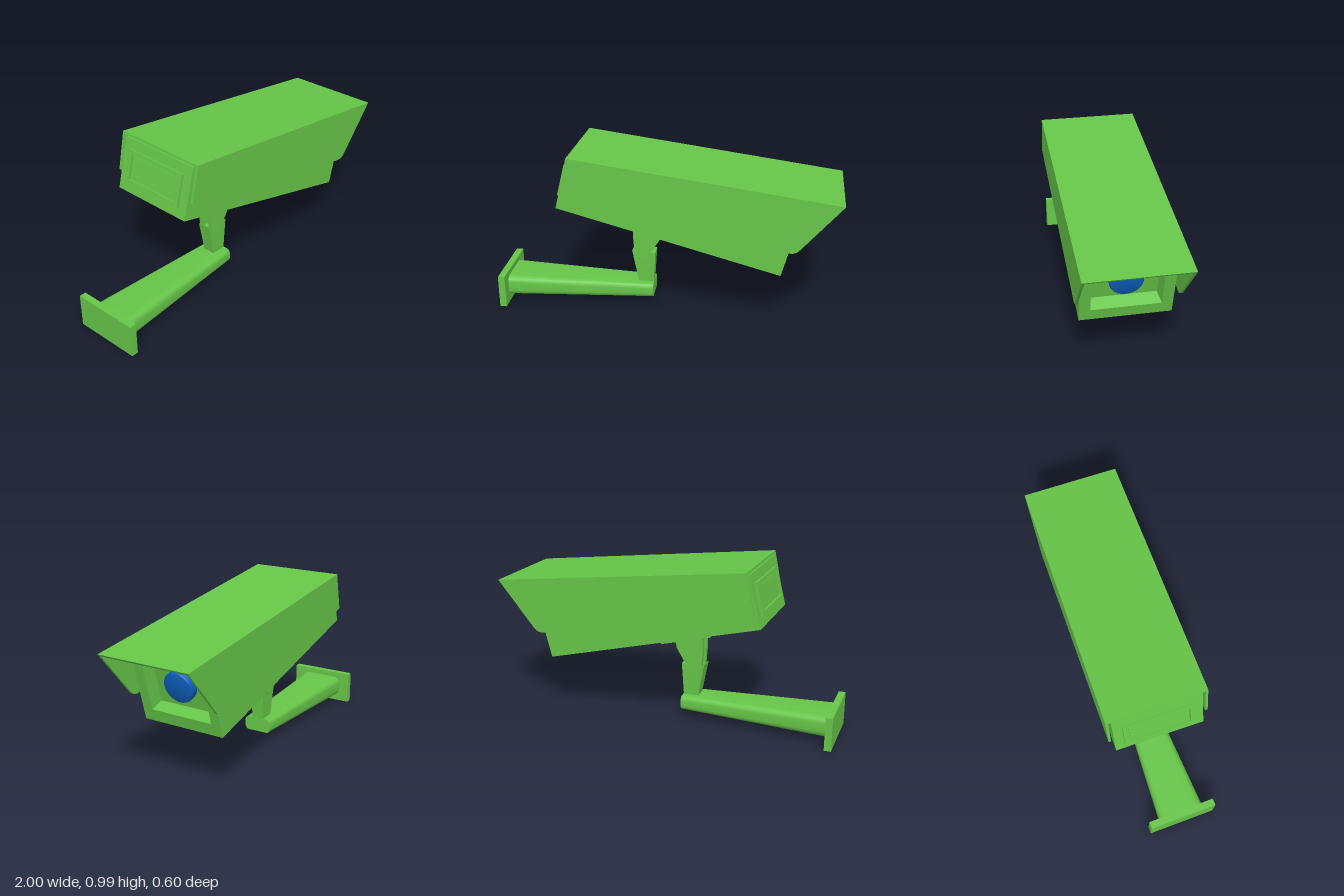
import * as THREE from 'three';
import { toCreasedNormals } from 'three/addons/utils/BufferGeometryUtils.js';

const green = new THREE.MeshStandardMaterial({ color: 0x66c548 });
const blue = new THREE.MeshStandardMaterial({ color: 0x0d5fbf });
const red = new THREE.MeshStandardMaterial({ color: 0xb81010 });

function add(parent, name, geometry, material = green) {
  const mesh = new THREE.Mesh(geometry, material);
  mesh.name = name;
  parent.add(mesh);
  return mesh;
}

// box given by its limits on each axis
function block(x0, x1, y0, y1, z0, z1) {
  return new THREE.BoxGeometry(x1 - x0, y1 - y0, z1 - z0)
    .translate((x0 + x1) / 2, (y0 + y1) / 2, (z0 + z1) / 2);
}

// side profile in x/y, extruded from z0 to z1
function prism(profile, z0, z1) {
  const shape = profile instanceof THREE.Shape
    ? profile : new THREE.Shape(profile.map(p => new THREE.Vector2(...p)));
  return new THREE.ExtrudeGeometry(shape, { depth: z1 - z0, bevelEnabled: false, curveSegments: 6 })
    .translate(0, 0, z0);
}

function rect(target, w, y0, y1) {
  target.moveTo(-w, y0);
  target.lineTo(w, y0);
  target.lineTo(w, y1);
  target.lineTo(-w, y1);
  target.closePath();
  return target;
}

// rectangular frame facing along x; [half width, bottom, top] for rim and opening
function frame(outer, inner, x0, x1) {
  const shape = rect(new THREE.Shape(), ...outer);
  shape.holes.push(rect(new THREE.Path(), ...inner));
  return new THREE.ExtrudeGeometry(shape, { depth: x1 - x0, bevelEnabled: false })
    .rotateY(Math.PI / 2).translate(x0, 0, 0);
}

function moveVertices(geometry, rule) {
  const p = geometry.attributes.position, v = new THREE.Vector3();
  for (let i = 0; i < p.count; i++) {
    rule(v.fromBufferAttribute(p, i));
    p.setXYZ(i, v.x, v.y, v.z);
  }
  geometry.computeVertexNormals();
  return geometry;
}

// housing: local x runs along the camera, y = 0 is its underside
function createHousing() {
  const housing = new THREE.Group();
  housing.name = 'cameraHousing';
  const length = 1.322, floor = 1.252, half = 0.2525;

  add(housing, 'body', prism([[0, 0], [floor, 0], [floor, 0.455], [0, 0.3]], -half, half));

  // front bezel with an opening that narrows toward the back
  const bezel = frame([half, 0, 0.463], [0.192, 0.073, 0.408], floor, length);
  moveVertices(bezel, v => {
    const onOpening = Math.abs(v.z) < 0.2;
    if (onOpening && v.x < floor + 0.01) {
      v.z -= Math.sign(v.z) * 0.014;
      v.y += v.y < 0.24 ? 0.018 : -0.018;
    }
  });
  add(housing, 'frontBezel', bezel);

  const lensProfile = [[0.09, 0], [0.092, 0.038], [0.088, 0.046], [0.078, 0.05], [0, 0.052]]
    .map(p => new THREE.Vector2(...p));
  const lens = add(housing, 'lens',
    toCreasedNormals(new THREE.LatheGeometry(lensProfile, 40), 0.6), blue);
  lens.rotation.z = -Math.PI / 2;
  lens.position.set(floor, 0.235, 0.003);

  const light = add(housing, 'indicatorLight', new THREE.SphereGeometry(0.023, 20, 14), red);
  light.position.set(floor + 0.008, 0.327, -0.143);

  // raised frame and panel on the back
  add(housing, 'backFrame', frame([0.2, 0.055, 0.245], [0.175, 0.08, 0.22], -0.017, 0));
  add(housing, 'backPanel', block(-0.009, 0.01, 0.088, 0.212, -0.167, 0.167));

  // hood: sloped top plate and two side panels
  const side = new THREE.Shape();
  side.moveTo(0, 0.32);
  side.lineTo(0.01, 0.1);
  side.quadraticCurveTo(0.013, 0.091, 0.024, 0.092);
  side.lineTo(1.315, 0.161);
  side.quadraticCurveTo(1.355, 0.163, 1.372, 0.2);
  side.lineTo(1.522, 0.516);
  add(housing, 'hoodTop',
    prism([[0, 0.32], [0.001, 0.306], [1.515, 0.502], [1.522, 0.516]], -0.27, 0.27));
  for (const s of [1, -1]) {
    add(housing, s > 0 ? 'hoodSideLeft' : 'hoodSideRight',
      prism(side, s > 0 ? 0.268 : -0.282, s > 0 ? 0.282 : -0.268));
  }

  // pad joining the housing to the bracket
  add(housing, 'mountPad', block(0.37, 0.68, -0.053, 0.005, -0.085, 0.095));

  housing.position.set(-0.605, 0.68, -0.0176);
  housing.rotation.set(0, -0.0233, -0.2522);
  return housing;
}

function createBracket() {
  const bracket = new THREE.Group();
  bracket.name = 'bracket';

  // two cheeks hanging from the pad
  const cheek = [[-0.2, 0.54], [-0.202, 0.43], [-0.193, 0.31], [-0.122, 0.3],
    [-0.04, 0.435], [-0.033, 0.5]];
  for (const s of [1, -1]) {
    add(bracket, s > 0 ? 'cheekLeft' : 'cheekRight',
      prism(cheek, s > 0 ? 0.02 : -0.048, s > 0 ? 0.048 : -0.02));
  }

  // post rising from the arm, slightly wider at the top
  const post = prism([[-0.168, 0.12], [-0.084, 0.12], [-0.071, 0.34], [-0.185, 0.328],
    [-0.21, 0.345]], -0.035, 0.035);
  moveVertices(post, v => { v.z *= 1 + (v.y - 0.12) * 0.9; });
  add(bracket, 'post', post);

  // tapering arm with rounded corners
  const w = 0.135, h = 0.0625, r = 0.04;
  const section = new THREE.Shape();
  section.moveTo(-w + r, -h);
  section.lineTo(w - r, -h);
  section.absarc(w - r, -h + r, r, -Math.PI / 2, 0);
  section.absarc(w - r, h - r, r, 0, Math.PI / 2);
  section.absarc(-w + r, h - r, r, Math.PI / 2, Math.PI);
  section.absarc(-w + r, -h + r, r, Math.PI, Math.PI * 1.5);
  const arm = new THREE.ExtrudeGeometry(section, { depth: 0.885, bevelEnabled: false, curveSegments: 6 })
    .rotateY(Math.PI / 2);
  moveVertices(arm, v => {
    const t = v.x / 0.885;
    v.y *= 1 - 0.32 * t;
    v.z *= 1 - 0.37 * t;
  });
  add(bracket, 'arm', toCreasedNormals(arm, 0.6)).position.set(-0.965, 0.102, 0);

  add(bracket, 'wallPlate', block(-1, -0.96, 0, 0.197, -0.2, 0.2));
  return bracket;
}

export function createModel() {
  const model = new THREE.Group();
  model.name = 'securityCamera';
  model.add(createHousing(), createBracket());
  return model;
}
